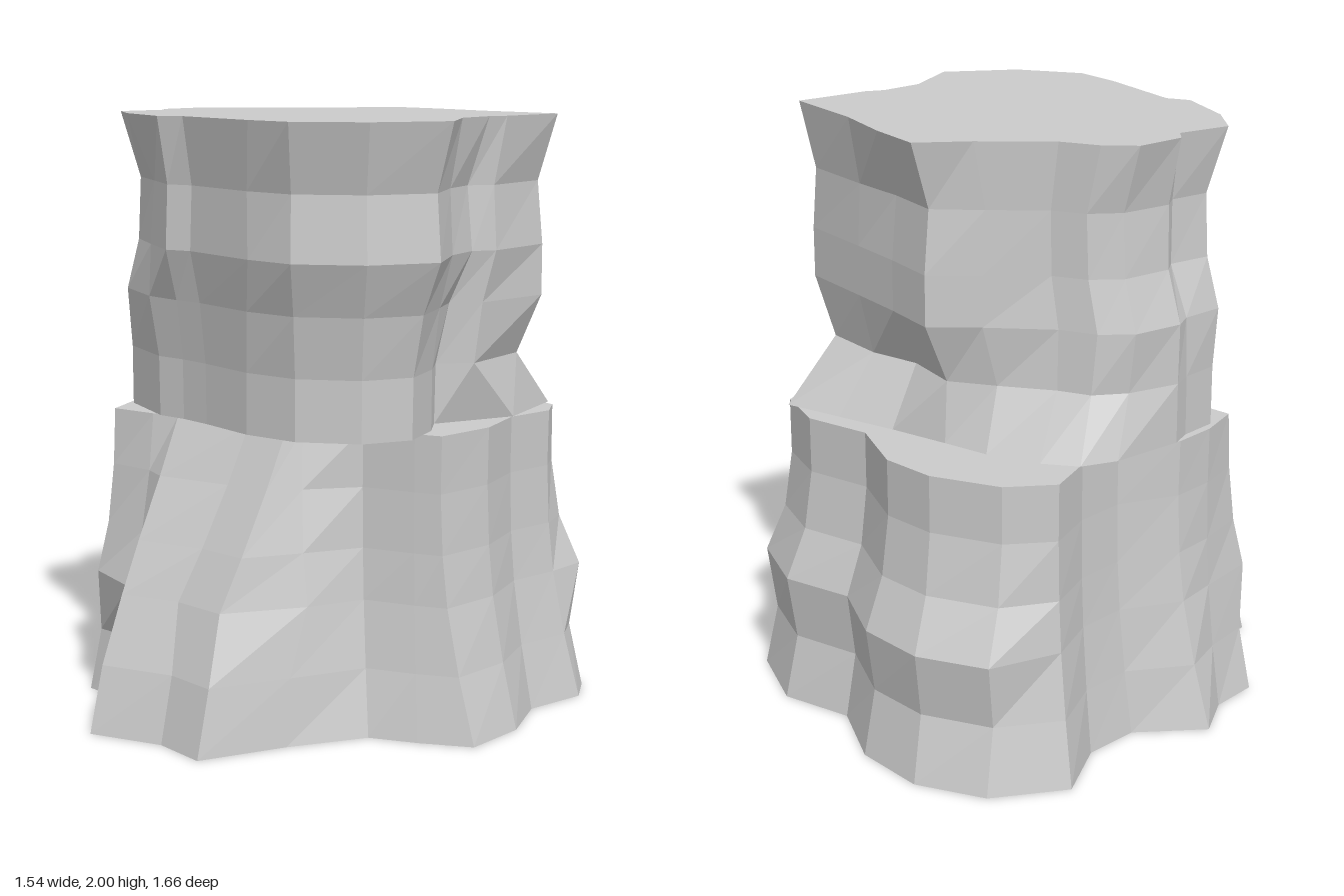
import * as THREE from 'three';

const material = new THREE.MeshStandardMaterial({ color: 0xcccccc, flatShading: true, side: THREE.DoubleSide });

// Closed, faceted loft through rings of [x, z] points that run front -> +x -> back -> -x
function loft(name, heights, rings) {
  const n = rings[0].length;
  const positions = [];
  const index = [];
  rings.forEach((ring, k) => ring.forEach(([x, z]) => positions.push(x, heights[k], z)));
  for (let k = 0; k < rings.length - 1; k++) {
    for (let i = 0; i < n; i++) {
      const a = k * n + i;
      const b = k * n + (i + 1) % n;
      index.push(a, b, b + n, a, b + n, a + n);
    }
  }
  // Flat caps
  const cap = (ring, offset, up) => {
    const outline = ring.map(([x, z]) => new THREE.Vector2(x, -z));
    for (const [a, b, c] of THREE.ShapeUtils.triangulateShape(outline, [])) {
      index.push(offset + a, offset + (up ? b : c), offset + (up ? c : b));
    }
  };
  cap(rings[0], 0, false);
  cap(rings[rings.length - 1], (rings.length - 1) * n, true);

  const indexed = new THREE.BufferGeometry();
  indexed.setAttribute('position', new THREE.Float32BufferAttribute(positions, 3));
  indexed.setIndex(index);
  const geometry = indexed.toNonIndexed();
  geometry.computeVertexNormals();
  const mesh = new THREE.Mesh(geometry, material);
  mesh.name = name;
  return mesh;
}

const mix = THREE.MathUtils.lerp;

// Lower block: each column is [x, z at the foot, x, z at the shoulder, optional x, z bulge halfway]
function lowerBlock() {
  const columns = [
    [-0.08, 0.78, -0.01, 0.40, -0.06, 0], [0.11, 0.83, 0.15, 0.41, -0.04, 0],
    [0.26, 0.56, 0.18, 0.36, 0.03, -0.04], [0.42, 0.33, 0.34, 0.25], [0.58, 0.28, 0.52, 0.22],
    [0.75, 0.21, 0.61, 0.20], [0.77, -0.02, 0.65, -0.02], [0.70, -0.24, 0.61, -0.23],
    [0.76, -0.46, 0.65, -0.41], [0.70, -0.59, 0.60, -0.52], [0.43, -0.72, 0.40, -0.60],
    [0.17, -0.67, 0.16, -0.565], [-0.08, -0.81, -0.08, -0.685], [-0.34, -0.83, -0.28, -0.69],
    [-0.57, -0.73, -0.51, -0.60], [-0.72, -0.50, -0.62, -0.46], [-0.60, -0.28, -0.55, -0.28],
    [-0.60, -0.08, -0.54, -0.10], [-0.77, 0.12, -0.63, 0.10], [-0.68, 0.28, -0.62, 0.26],
    [-0.67, 0.46, -0.57, 0.42, -0.01, 0.06], [-0.38, 0.52, -0.40, 0.42, 0.02, 0.15],
    [-0.34, 0.83, -0.30, 0.41],
  ];
  const heights = [0, 0.22, 0.44, 0.61, 0.81, 1];
  const front = [0, 0.14, 0.36, 0.55, 0.79, 1];
  const sides = [0, 0.45, 0.8, 0.95, 1.02, 1];
  const back = [0, 0.4, 0.15, 0.75, 1, 1];
  const bulge = [0, 0.1, 1, 0.5, 0.2, 0];
  const rings = heights.map((_, k) => columns.map(([x0, z0, x1, z1, bx = 0, bz = 0]) => {
    const t = z0 > 0.55 ? front[k] : z0 < -0.5 ? back[k] : sides[k];
    return [mix(x0, x1, t) + bx * bulge[k], mix(z0, z1, t) + bz * bulge[k]];
  }));
  return loft('lowerRockBlock', heights, rings);
}

// Upper block: each column is [x, z at the waist, x, z at the top], with a flared skirt behind
function upperBlock() {
  const columns = [
    [-0.13, 0.47, -0.16, 0.54], [0.09, 0.54, 0.19, 0.655], [0.29, 0.55, 0.37, 0.69],
    [0.48, 0.46, 0.59, 0.58], [0.57, 0.31, 0.745, 0.36], [0.53, 0.14, 0.63, 0.13],
    [0.47, 0.03, 0.63, -0.03], [0.57, -0.05, 0.66, -0.09], [0.56, -0.34, 0.69, -0.36],
    [0.32, -0.38, 0.36, -0.43], [0.13, -0.36, 0.13, -0.51], [-0.08, -0.42, -0.08, -0.56],
    [-0.23, -0.34, -0.20, -0.41], [-0.40, -0.24, -0.39, -0.23], [-0.51, -0.20, -0.52, -0.18],
    [-0.58, -0.10, -0.61, -0.10], [-0.63, 0.08, -0.62, 0.08], [-0.60, 0.16, -0.57, 0.13],
    [-0.59, 0.30, -0.61, 0.32], [-0.36, 0.43, -0.47, 0.45], [-0.25, 0.44, -0.24, 0.57],
  ];
  const skirt = [[0.61, -0.24], [0.56, -0.56], [0.34, -0.52], [0.12, -0.48], [-0.10, -0.45],
    [-0.27, -0.43], [-0.45, -0.37], [-0.56, -0.30], [-0.61, -0.18]];
  const skirtStart = 7;
  const heights = [1, 1.2, 1.4, 1.57, 1.78, 2];
  const front = [0, 0.02, 0.27, 0.7, 0.6, 1];
  const back = [0, 0, 0.65, 0.65, 0.5, 1];
  const pinch = [1, 1, 1.01, 0.93, 0.92, 1]; // narrowing of the -x side
  const rings = heights.map((_, k) => columns.map(([x0, z0, x1, z1], i) => {
    const onSkirt = i >= skirtStart && i < skirtStart + skirt.length;
    if (k === 0 && onSkirt) return skirt[i - skirtStart];
    const t = z0 < -0.08 ? back[k] : front[k];
    const x = mix(x0, x1, t);
    const z = mix(z0, z1, t);
    const p = x < -0.3 ? pinch[k] : 1;
    return [x * p, z > 0.2 ? z * p : z];
  }));
  return loft('upperRockBlock', heights, rings);
}

export function createModel() {
  const group = new THREE.Group();
  group.name = 'rockPillar';
  group.add(lowerBlock(), upperBlock());
  return group;
}
